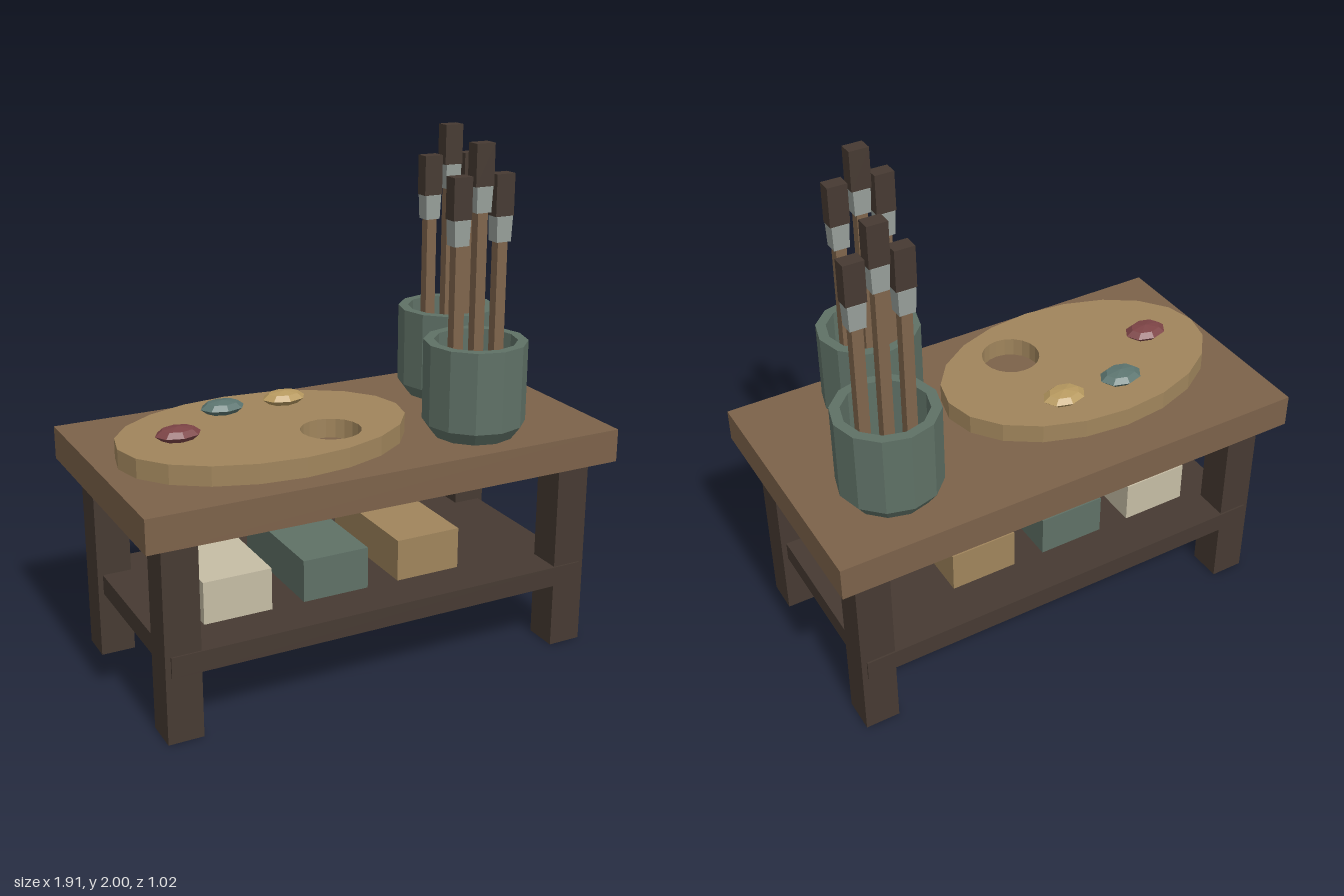
import * as THREE from 'three';

const mat = (color) => new THREE.MeshStandardMaterial({ color, flatShading: true });
const M = {
  top: mat(0x7c624a), dark: mat(0x463a32), tan: mat(0xa0855c), green: mat(0x5f7166),
  cream: mat(0xc6bda5), metal: mat(0x98a09b), handle: mat(0x7f654c),
  red: mat(0x7d4446), teal: mat(0x5c7570), yellow: mat(0xb89a60),
};

function add(parent, name, geometry, material, x = 0, y = 0, z = 0) {
  const mesh = new THREE.Mesh(geometry, material);
  mesh.name = name;
  mesh.position.set(x, y, z);
  parent.add(mesh);
  return mesh;
}

// Box spanning y0..y1, centred on x and z
function box(parent, name, material, w, d, y0, y1, x = 0, z = 0) {
  return add(parent, name, new THREE.BoxGeometry(w, y1 - y0, d), material, x, (y0 + y1) / 2, z);
}

// Points on an ellipse
const ring = (cx, cy, rx, ry, n) => Array.from({ length: n }, (_, i) => {
  const a = (i / n) * Math.PI * 2;
  return new THREE.Vector2(cx + rx * Math.cos(a), cy + ry * Math.sin(a));
});

// Paintbrush: square handle, tapered ferrule, bristle block
function brush(parent, x, lift) {
  const g = new THREE.Group();
  g.name = 'brush';
  g.position.x = x;
  box(g, 'brushHandle', M.handle, 0.042, 0.04, 0.955, 1.66 + lift);
  const ferrule = new THREE.CylinderGeometry(Math.SQRT1_2, Math.SQRT1_2 * 0.9, 1, 4)
    .rotateY(Math.PI / 4).scale(0.068, 0.095, 0.06);
  add(g, 'brushFerrule', ferrule, M.metal, 0, 1.682 + lift, 0);
  box(g, 'brushBristles', M.dark, 0.077, 0.056, 1.73 + lift, 1.885 + lift);
  parent.add(g);
}

// Hollow pot holding three brushes
function brushPot(parent, x, z) {
  const g = new THREE.Group();
  g.name = 'brushPot';
  g.position.set(x, 0, z);
  const profile = [[0, 0.905], [0.158, 0.905], [0.196, 0.957], [0.196, 1.27],
    [0.157, 1.27], [0.157, 0.955], [0, 0.955]].map(([r, y]) => new THREE.Vector2(r, y));
  add(g, 'pot', new THREE.LatheGeometry(profile, 12), M.green);
  for (const i of [-1, 0, 1]) brush(g, i * 0.09, i === 0 ? 0.115 : 0);
  parent.add(g);
}

export function createModel() {
  const model = new THREE.Group();
  model.name = 'paintingTable';

  // Table
  box(model, 'tableTop', M.top, 1.914, 1.02, 0.775, 0.905);
  for (const sx of [-1, 1])
    for (const sz of [-1, 1])
      box(model, 'leg', M.dark, 0.136, 0.136, 0, 0.775, sx * 0.813, sz * 0.368);
  box(model, 'shelf', M.dark, 1.72, 0.886, 0.262, 0.342);

  // Storage boxes on the shelf
  [M.cream, M.green, M.tan].forEach((m, i) =>
    box(model, 'storageBox', m, 0.27, 0.526, 0.342, 0.508, -0.53 + i * 0.4, 0));

  // Oval palette with a thumb hole
  const shape = new THREE.Shape(ring(-0.32, -0.04, 0.565, 0.377, 20));
  shape.holes.push(new THREE.Path(ring(-0.115, -0.19, 0.114, 0.114, 20)));
  const palette = new THREE.ExtrudeGeometry(shape, { depth: 0.075, bevelEnabled: false });
  add(model, 'palette', palette.rotateX(-Math.PI / 2), M.tan, 0, 0.905, 0);

  // Paint dabs
  const dab = new THREE.SphereGeometry(1, 8, 4).scale(0.088, 0.028, 0.064);
  for (const [m, x, z] of [[M.red, -0.655, 0.04], [M.teal, -0.397, -0.165], [M.yellow, -0.14, -0.165]])
    add(model, 'paintDab', dab, m, x, 1.002, z);

  // Brush pots
  brushPot(model, 0.62, -0.214);
  brushPot(model, 0.45, 0.274);

  return model;
}
